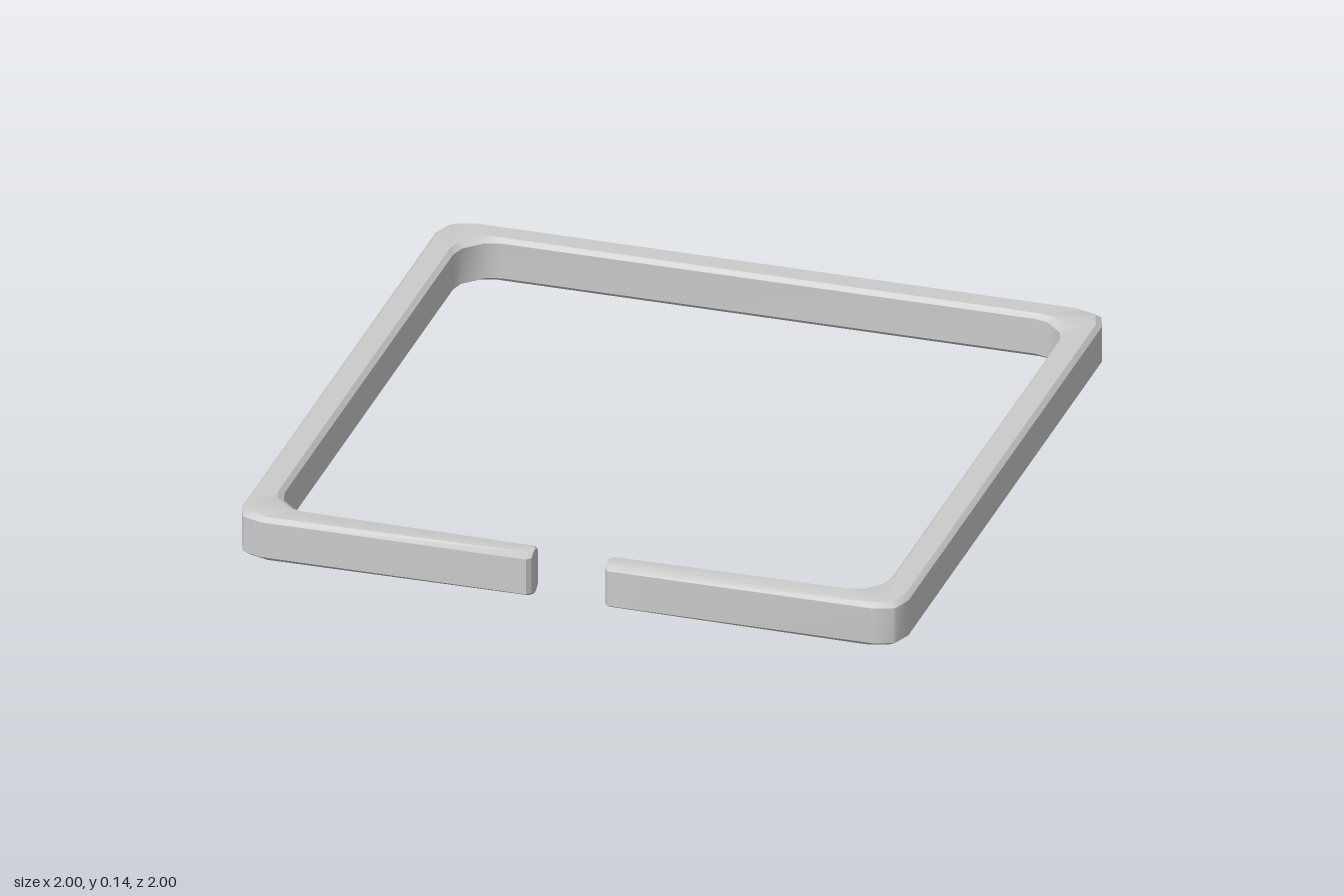
import * as THREE from 'three';
import { toCreasedNormals } from 'three/addons/utils/BufferGeometryUtils.js';

const HEIGHT = 0.137, BEVEL_IN = 0.022, BEVEL_UP = 0.013;

// Stations along the ring: [outer x, outer z, inner x, inner z]
const corner = [
  [0.92, 1, 0.8, 0.91],
  [0.974, 0.981, 0.845, 0.898],
  [0.981, 0.974, 0.898, 0.845],
  [1, 0.92, 0.91, 0.8],
];
const end = [[0.11, 0.985, 0.11, 0.925], [0.122, 1, 0.122, 0.91]];

const quarterTurn = ([ox, oz, ix, iz]) => [oz, -ox, iz, -ix];
const mirror = ([ox, oz, ix, iz]) => [-ox, oz, -ix, iz];

function ringStations() {
  const stations = [...end];
  let c = corner;
  for (let k = 0; k < 4; k++) {
    stations.push(...c);
    c = c.map(quarterTurn);
  }
  stations.push(...end.map(mirror).reverse());
  return stations;
}

// Bevelled rectangular cross-section standing between outer and inner point
function section([ox, oz, ix, iz]) {
  const t = BEVEL_IN / Math.hypot(ix - ox, iz - oz);
  const top = HEIGHT - BEVEL_UP;
  return [
    [0, BEVEL_UP], [0, top], [t, HEIGHT], [1 - t, HEIGHT],
    [1, top], [1, BEVEL_UP], [1 - t, 0], [t, 0],
  ].map(([s, y]) => [ox + (ix - ox) * s, y, oz + (iz - oz) * s]);
}

function sweep(stations) {
  const rings = stations.map(section);
  const n = rings[0].length, last = rings.length - 1;
  const index = [];
  for (let i = 0; i < last; i++) {
    for (let j = 0; j < n; j++) {
      const k = (j + 1) % n;
      const a = i * n + j, b = a + n, c = (i + 1) * n + k, d = i * n + k;
      index.push(a, b, c, a, c, d);
    }
  }
  // End caps
  for (let j = 1; j < n - 1; j++) {
    index.push(0, j, j + 1);
    index.push(last * n, last * n + j + 1, last * n + j);
  }
  const g = new THREE.BufferGeometry();
  g.setAttribute('position', new THREE.Float32BufferAttribute(rings.flat(2), 3));
  g.setIndex(index);
  return toCreasedNormals(g, 0.6);
}

export function createModel() {
  const group = new THREE.Group();
  group.name = 'openSquareRing';

  // Square band with a gap in the middle of the front side
  const band = new THREE.Mesh(
    sweep(ringStations()),
    new THREE.MeshStandardMaterial({ color: 0xcccccc })
  );
  band.name = 'band';
  group.add(band);
  return group;
}
